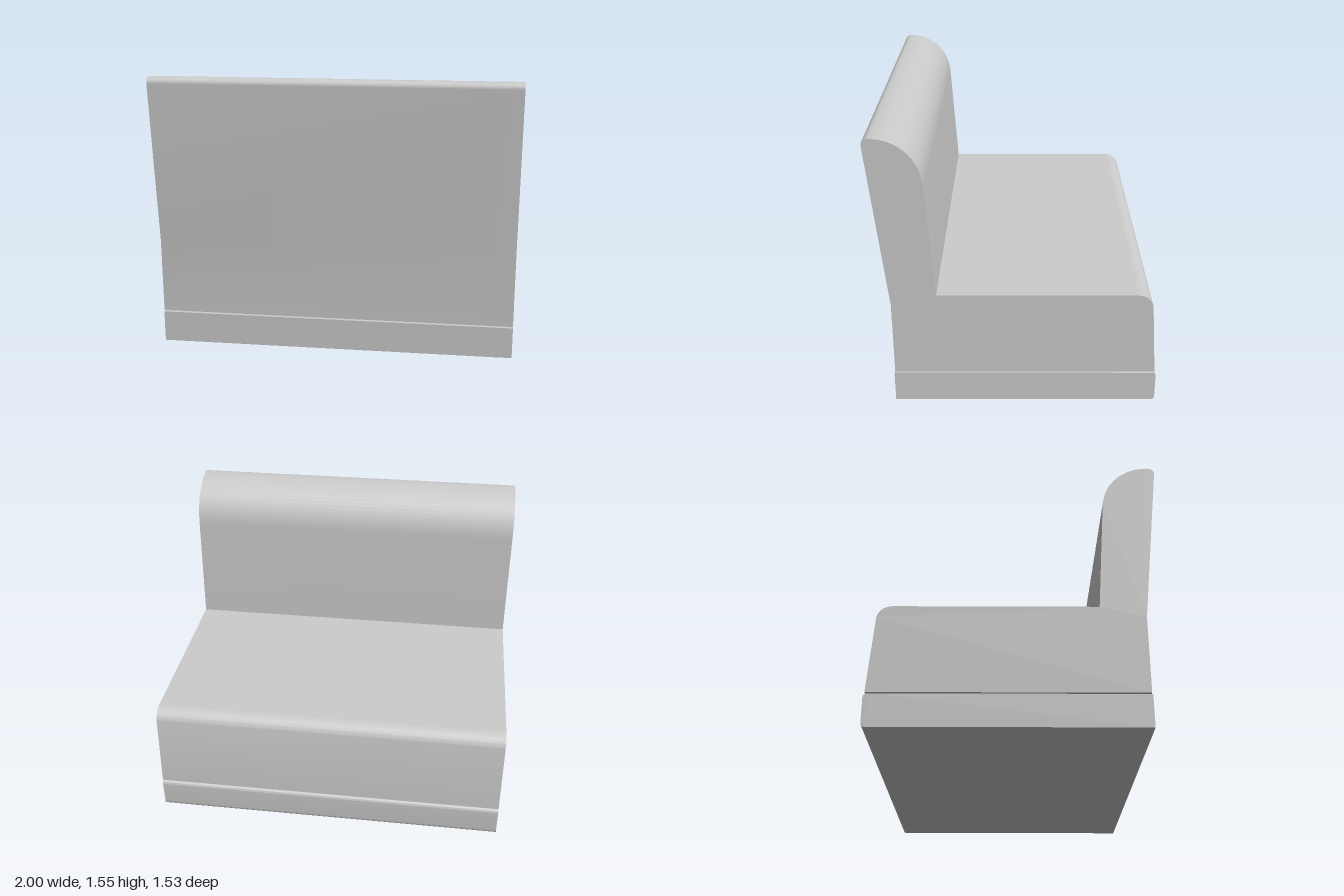
import * as THREE from 'three';
import { toCreasedNormals } from 'three/addons/utils/BufferGeometryUtils.js';

const WIDTH = 2;

// Sweeps a side profile (z, y) across the full width of the seat.
function profilePart(name, shape, material) {
  const geometry = new THREE.ExtrudeGeometry(shape, { depth: WIDTH, bevelEnabled: false, curveSegments: 16 });
  geometry.rotateY(-Math.PI / 2);
  geometry.translate(WIDTH / 2, 0, 0);
  const mesh = new THREE.Mesh(toCreasedNormals(geometry, 0.5), material);
  mesh.name = name;
  return mesh;
}

export function createModel() {
  const group = new THREE.Group();
  group.name = 'benchSeat';
  const material = new THREE.MeshStandardMaterial({ color: 0xcccccc });

  // Plinth with softly rounded front edges
  const base = new THREE.Shape();
  base.moveTo(0.675, 0);
  base.lineTo(0.675, 0.178);
  base.lineTo(-0.74, 0.178);
  base.quadraticCurveTo(-0.765, 0.178, -0.765, 0.155);
  base.lineTo(-0.765, 0.022);
  base.quadraticCurveTo(-0.765, 0, -0.745, 0);
  base.closePath();
  group.add(profilePart('base', base, material));

  // Seat cushion and leaning backrest in one continuous profile
  const seat = new THREE.Shape();
  seat.moveTo(0.67, 0.185);
  seat.lineTo(0.67, 0.61);
  seat.lineTo(0.765, 1.515);
  seat.quadraticCurveTo(0.767, 1.55, 0.728, 1.553);
  seat.bezierCurveTo(0.6, 1.555, 0.48, 1.46, 0.469, 1.3);
  seat.lineTo(0.428, 0.67);
  seat.lineTo(-0.64, 0.67);
  seat.bezierCurveTo(-0.685, 0.67, -0.72, 0.645, -0.726, 0.6);
  seat.lineTo(-0.757, 0.185);
  seat.closePath();
  group.add(profilePart('seatAndBackrest', seat, material));

  return group;
}
